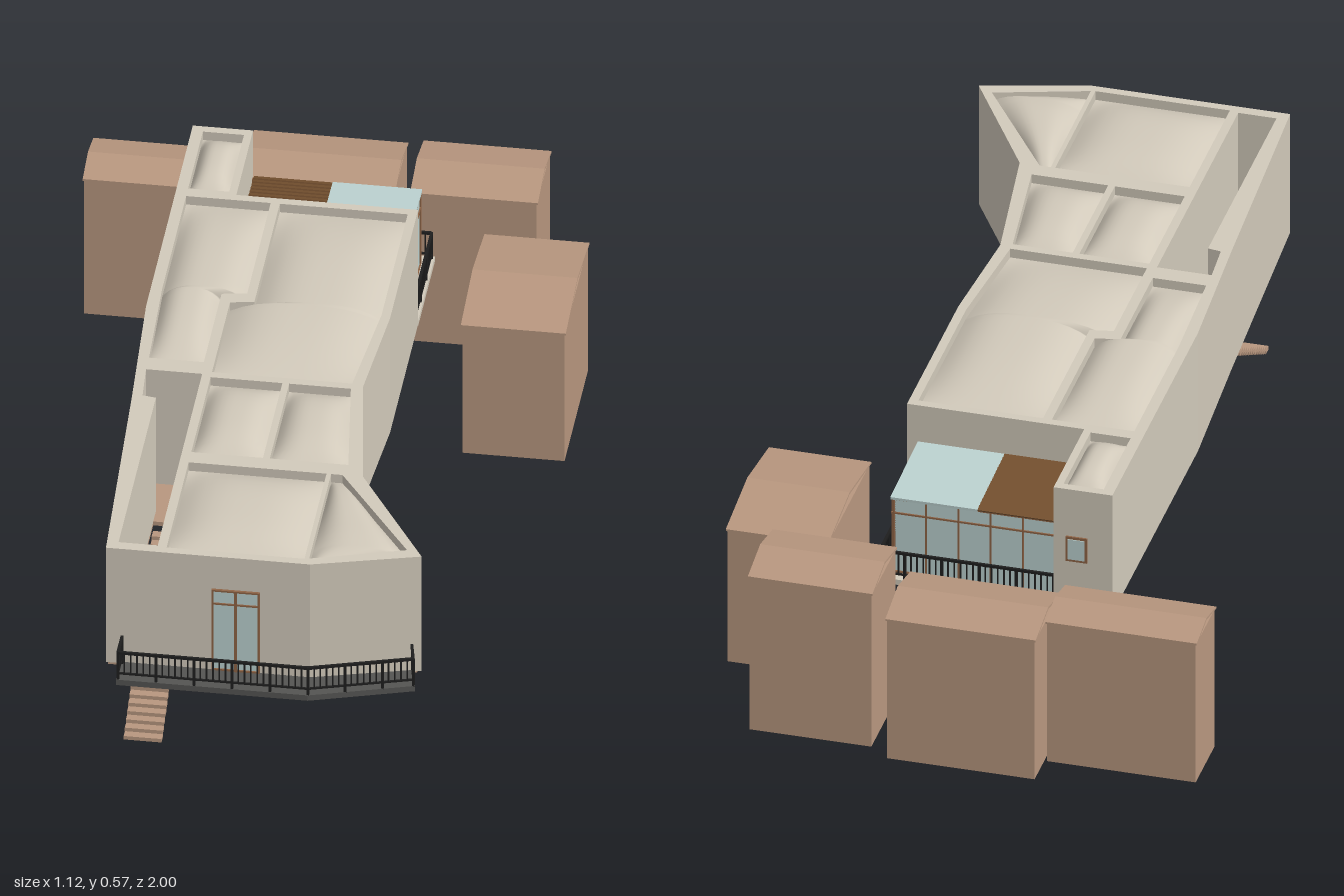
import * as THREE from 'three';

const mat = (name, color, double) => {
  const m = new THREE.MeshStandardMaterial({ color });
  m.name = name;
  if (double) m.side = THREE.DoubleSide;
  return m;
};

export function createModel() {
  const cream = mat('cream render', 0xd2cabb, true);
  const clay = mat('clay', 0xb8977f, true);
  const glass = mat('pale glass', 0xbcd2d0, true);
  const frame = mat('frame brown', 0x8f6446);
  const timber = mat('dark timber', 0x74502f);
  const slabGrey = mat('slab grey', 0x545452);
  const black = mat('railing black', 0x1e1e1e);

  const root = new THREE.Group();
  const group = (name) => {
    const g = new THREE.Group();
    g.name = name;
    root.add(g);
    return g;
  };
  const add = (parent, name, geo, m) => {
    const mesh = new THREE.Mesh(geo, m);
    mesh.name = name;
    parent.add(mesh);
    return mesh;
  };
  // box given by its minimum and maximum on each axis
  const box = (parent, name, m, x0, x1, y0, y1, z0, z1) => {
    const mesh = add(parent, name, new THREE.BoxGeometry(x1 - x0, y1 - y0, z1 - z0), m);
    mesh.position.set((x0 + x1) / 2, (y0 + y1) / 2, (z0 + z1) / 2);
    return mesh;
  };
  // horizontal bar between two plan points
  const bar = (parent, name, m, a, b, y, w, h) => {
    const dx = b[0] - a[0], dz = b[1] - a[1];
    const mesh = add(parent, name, new THREE.BoxGeometry(Math.hypot(dx, dz), h, w), m);
    mesh.position.set((a[0] + b[0]) / 2, y, (a[1] + b[1]) / 2);
    mesh.rotation.y = -Math.atan2(dz, dx);
  };
  // plan outline [x, z] extruded between two heights
  const plan = (pts, holes, y0, y1) => {
    const v = (p) => p.map(([x, z]) => new THREE.Vector2(x, z));
    const s = new THREE.Shape(v(pts));
    holes.forEach((h) => s.holes.push(new THREE.Path(v(h))));
    return new THREE.ExtrudeGeometry(s, { depth: y1 - y0, bevelEnabled: false })
      .rotateX(Math.PI / 2).translate(0, y1, 0);
  };

  // Roof panels as rows of [z, left x, right x]
  const panels = [
    [[-0.68, -0.285, -0.195], [-0.46, -0.285, -0.195]],
    [[-0.43, -0.285, -0.1], [-0.08, -0.285, -0.1], [-0.07, -0.285, -0.155], [0.195, -0.275, -0.155]],
    [[-0.43, -0.08, 0.2], [-0.05, -0.08, 0.2], [-0.04, -0.132, 0.2], [0.23, -0.132, 0.175]],
    [[0.25, -0.132, 0.025], [0.54, -0.132, 0.025]],
    [[0.25, 0.04, 0.175], [0.54, 0.04, 0.212]],
    [[0.58, -0.132, 0.17], [0.91, -0.132, 0.17]],
    [[0.58, 0.18, 0.205], [0.845, 0.18, 0.385], [0.907, 0.18, 0.182]],
  ];
  const outlineOf = (rows) => [
    ...rows.map((r) => [r[1], r[0]]),
    ...rows.slice().reverse().map((r) => [r[2], r[0]]),
  ];
  const stairwell = [[-0.275, 0.24], [-0.268, 0.34], [-0.238, 0.345], [-0.238, 0.905], [-0.152, 0.905], [-0.152, 0.24]];

  // Outer walls and partitions
  const sideRight = [[0.22, -0.03], [0.2, 0.24], [0.25, 0.58], [0.42, 0.865], [0.185, 0.93]];
  const sideLeft = [[-0.262, 0.93], [-0.29, 0.35], [-0.31, 0]];
  const building = group('building');
  add(building, 'walls', plan(
    [[-0.31, -0.7], [-0.178, -0.7], [-0.178, -0.45], [0.22, -0.45], ...sideRight, ...sideLeft],
    [...panels.map(outlineOf), stairwell], 0.26, 0.56), cream);

  // Floor, open over the stairs
  add(building, 'floor', plan(
    [[-0.305, -0.695], [0.22, -0.695], [0.215, -0.03], [0.195, 0.24], [0.245, 0.58], [0.41, 0.86], [0.185, 0.925], [-0.258, 0.925], [-0.305, 0]],
    [[[-0.238, 0.385], [-0.238, 0.905], [-0.152, 0.905], [-0.152, 0.385]]], 0.252, 0.262), clay);

  // Pillow-shaped roof panels
  const pillow = (rows) => {
    const N = 12, pos = [], idx = [];
    const z0 = rows[0][0], z1 = rows[rows.length - 1][0];
    const lift = (t) => 1 - Math.abs(2 * t - 1) ** 3;
    let count = 0;
    for (let s = 0; s < rows.length - 1; s++) {
      for (let i = s ? 1 : 0; i <= N; i++) {
        const [z, l, r] = rows[s].map((a, k) => THREE.MathUtils.lerp(a, rows[s + 1][k], i / N));
        for (let j = 0; j <= N; j++) {
          const u = j / N;
          pos.push(l + (r - l) * u, 0.538 + 0.032 * lift(u) * lift((z - z0) / (z1 - z0)), z);
        }
        count++;
      }
    }
    for (let i = 0; i < count - 1; i++) for (let j = 0; j < N; j++) {
      const a = i * (N + 1) + j, b = a + N + 1;
      idx.push(a, b, a + 1, a + 1, b, b + 1);
    }
    const g = new THREE.BufferGeometry();
    g.setAttribute('position', new THREE.Float32BufferAttribute(pos, 3));
    g.setIndex(idx);
    g.computeVertexNormals();
    return g;
  };
  const roof = group('roofPanels');
  panels.forEach((p) => add(roof, 'roofPanel', pillow(p), cream));

  // Open stairs
  const stairs = group('stairs');
  const steps = 25;
  for (let i = 0; i < steps; i++) {
    const y = 0.005 + i * 0.01, z = 0.85 - i * 0.0175;
    box(stairs, 'step', clay, -0.235, -0.152, y, y + 0.009, z - 0.021, z);
  }

  // Railing along plan points
  const railing = (parent, pts) => {
    for (let i = 0; i < pts.length - 1; i++) {
      const a = pts[i], b = pts[i + 1];
      const n = Math.round(Math.hypot(b[0] - a[0], b[1] - a[1]) / 0.014);
      bar(parent, 'topRail', black, a, b, 0.333, 0.006, 0.006);
      bar(parent, 'bottomRail', black, a, b, 0.279, 0.004, 0.004);
      for (let k = 0; k <= n; k++) {
        const x = a[0] + (b[0] - a[0]) * k / n, z = a[1] + (b[1] - a[1]) * k / n;
        const w = k % 6 ? 0.0016 : 0.003;
        box(parent, 'baluster', black, x - w, x + w, k % 6 ? 0.279 : 0.262, 0.333, z - w, z + w);
      }
    }
  };

  // Front balcony
  const balcony = group('balcony');
  add(balcony, 'balconySlab', plan(
    [[-0.23, 0.925], [-0.23, 1], [0.19, 1], [0.415, 0.93], [0.4, 0.868], [0.185, 0.925]], [], 0.25, 0.264), slabGrey);
  railing(balcony, [[-0.226, 0.935], [-0.226, 0.996], [0.19, 0.996], [0.411, 0.928], [0.4, 0.876]]);

  // Front double door
  const door = group('frontDoor');
  box(door, 'doorGlass', glass, -0.028, 0.073, 0.267, 0.475, 0.928, 0.933);
  [[-0.03, -0.026], [0.019, 0.026], [0.071, 0.075]].forEach(([a, b]) =>
    box(door, 'doorPost', frame, a, b, 0.265, 0.475, 0.929, 0.936));
  [0.266, 0.438, 0.472].forEach((y) => box(door, 'doorRail', frame, -0.03, 0.075, y, y + 0.004, 0.929, 0.936));

  // Small window in the back wall
  const win = group('backWindow');
  box(win, 'windowFrame', frame, -0.254, -0.206, 0.38, 0.442, -0.704, -0.699);
  box(win, 'windowGlass', glass, -0.249, -0.211, 0.386, 0.436, -0.706, -0.7);

  // Back terrace with glazed room
  const terrace = group('terrace');
  box(terrace, 'terraceFloor', cream, -0.178, 0.22, 0.255, 0.268, -0.7, -0.45);
  railing(terrace, [[-0.176, -0.694], [0.214, -0.694], [0.214, -0.455]]);
  const room = group('glassRoom');
  box(room, 'backGlass', glass, -0.175, 0.192, 0.268, 0.455, -0.668, -0.664);
  box(room, 'sideGlass', glass, 0.188, 0.192, 0.268, 0.458, -0.668, -0.45);
  box(room, 'glassRoof', glass, 0, 0.196, 0.458, 0.464, -0.675, -0.45).rotation.x = -0.04;
  for (let i = 0; i <= 5; i++) {
    const x = -0.173 + i * 0.0725;
    box(room, 'backPost', frame, x - 0.002, x + 0.002, 0.268, 0.457, -0.671, -0.662);
  }
  for (let i = 0; i <= 3; i++) {
    const z = -0.666 + i * 0.071;
    box(room, 'sidePost', frame, 0.186, 0.195, 0.268, 0.458, z - 0.002, z + 0.002);
  }
  [0.27, 0.418, 0.453].forEach((y) => {
    box(room, 'backRail', frame, -0.175, 0.195, y - 0.002, y + 0.002, -0.671, -0.662);
    box(room, 'sideRail', frame, 0.186, 0.195, y - 0.002, y + 0.002, -0.671, -0.45);
  });
  // Louvred timber roof
  for (let i = 0; i < 16; i++) {
    const z = -0.667 + i * 0.0137, y = 0.459 + i * 0.0006;
    box(room, 'louvre', timber, -0.172, 0, y - 0.0015, y + 0.0015, z - 0.0078, z + 0.0078).rotation.x = -0.3;
  }

  // Neighbouring houses: [x0, x1, z0, z1, wall height, ridge height]
  const houses = [
    [-0.56, -0.22, -0.92, -0.76, 0.348, 0.372],
    [-0.22, 0.118, -1, -0.795, 0.348, 0.378],
    [0.157, 0.437, -0.963, -0.76, 0.383, 0.411],
    [0.328, 0.558, -0.703, -0.35, 0.33, 0.363],
  ];
  houses.forEach(([x0, x1, z0, z1, h, ridge]) => {
    const g = group('house');
    box(g, 'houseWalls', clay, x0 + 0.003, x1 - 0.003, 0, h, z0 + 0.002, z1 - 0.002);
    // thin folded roof sheet
    const t = 0.005, zm = (z0 + z1) / 2, e = h + 0.001;
    const s = new THREE.Shape([[z0, e], [zm, ridge - t], [z1, e], [z1, e + t], [zm, ridge], [z0, e + t]]
      .map(([z, y]) => new THREE.Vector2(-z, y)));
    add(g, 'houseRoof', new THREE.ExtrudeGeometry(s, { depth: x1 - x0, bevelEnabled: false })
      .rotateY(Math.PI / 2).translate(x0, 0, 0), clay);
  });

  return root;
}
